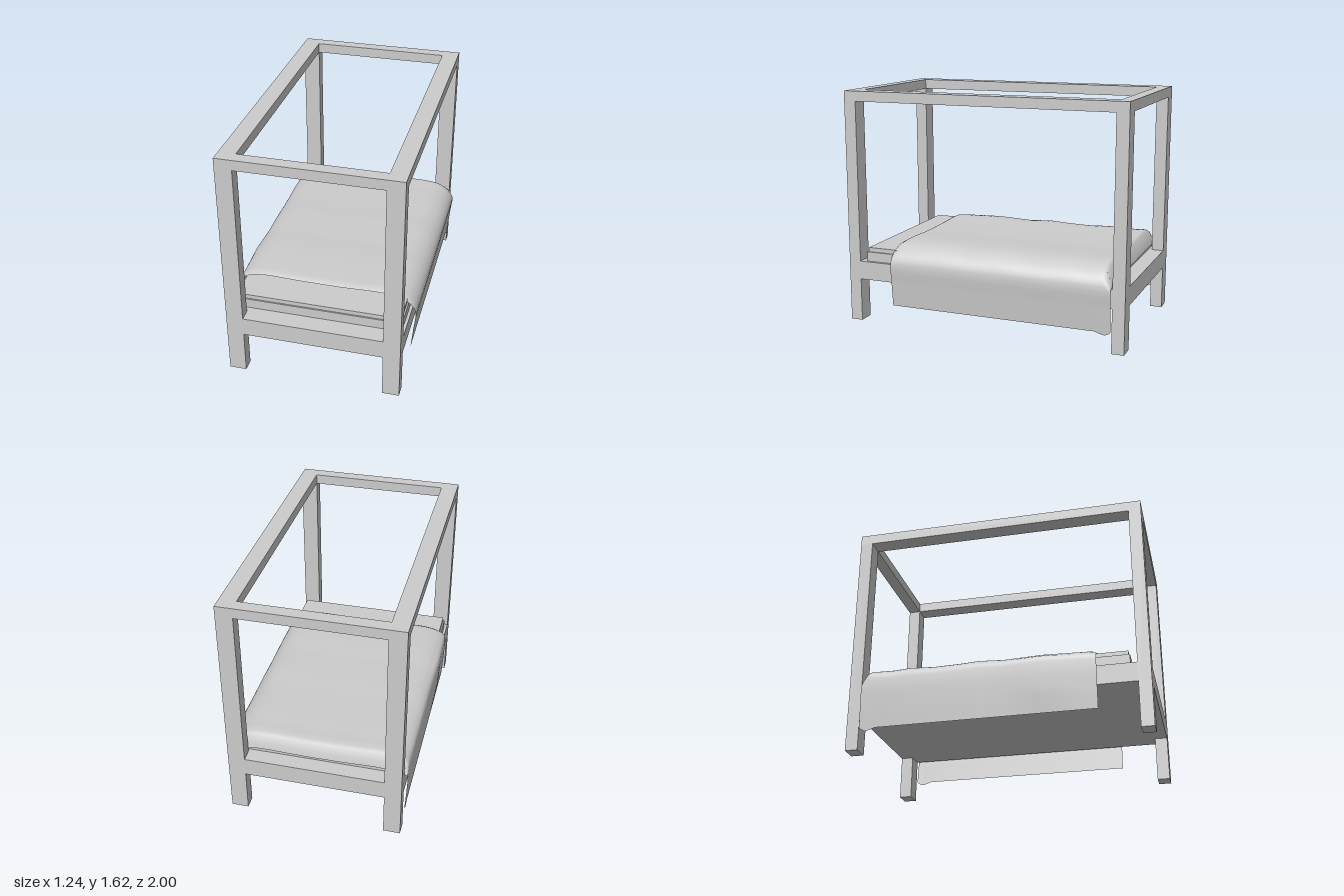
import * as THREE from 'three';

const material = new THREE.MeshStandardMaterial({ color: 0xcccccc });
const clothMaterial = new THREE.MeshStandardMaterial({ color: 0xcccccc, side: THREE.DoubleSide });

// Box given by its minimum and maximum corners
function box(name, x0, x1, y0, y1, z0, z1) {
  const mesh = new THREE.Mesh(new THREE.BoxGeometry(x1 - x0, y1 - y0, z1 - z0), material);
  mesh.name = name;
  mesh.position.set((x0 + x1) / 2, (y0 + y1) / 2, (z0 + z1) / 2);
  return mesh;
}

const X0 = -0.595, X1 = 0.585, PX = 0.115, PZ = 0.085, H = 1.625, RAIL = 1.555;

// Draped sheet: a cross-section over the bed, swept from the back to the front
function createBlanket() {
  const section = new THREE.CatmullRomCurve3([
    [-0.603, 0.14], [-0.612, 0.3], [-0.616, 0.46], [-0.608, 0.515], [-0.56, 0.555], [-0.45, 0.58],
    [-0.2, 0.576], [0.1, 0.574], [0.38, 0.58], [0.5, 0.565], [0.575, 0.52], [0.615, 0.45],
    [0.605, 0.3], [0.59, 0.14],
  ].map(([x, y]) => new THREE.Vector3(x, y, 0)), false, 'centripetal');

  // [z, offset of the top, offset of the hem]
  const rows = [
    [-0.91, -0.11, 0.01], [-0.9, -0.065, -0.005], [-0.875, -0.01, -0.017], [-0.855, 0.003, -0.018],
    [-0.8, 0, 0], [-0.7, -0.002, 0], [-0.6, 0.005, 0], [-0.42, -0.004, 0], [-0.25, 0, 0],
    [-0.12, 0.007, 0], [0.05, -0.003, 0], [0.18, 0.002, 0], [0.3, 0.007, 0], [0.45, 0.002, 0],
    [0.6, -0.003, 0], [0.635, -0.007, 0], [0.66, -0.02, 0],
  ];
  const cols = 52;
  const points = section.getPoints(cols);
  const geometry = new THREE.PlaneGeometry(1, 1, cols, rows.length - 1);
  const pos = geometry.attributes.position;
  rows.forEach(([z, top, hem], r) => points.forEach((p, c) => {
    const high = THREE.MathUtils.clamp((p.y - 0.42) / 0.14, 0, 1);
    const low = THREE.MathUtils.clamp((0.3 - p.y) / 0.16, 0, 1);
    // Gentle bulge of the -x side
    const bulge = p.x < -0.59 ? -0.009 * Math.exp(-(((z - 0.3) / 0.15) ** 2)) * (1 - low) : 0;
    pos.setXYZ(r * (cols + 1) + c, p.x + bulge, p.y + top * high + hem * low, z);
  }));
  geometry.computeVertexNormals();
  const mesh = new THREE.Mesh(geometry, clothMaterial);
  mesh.name = 'blanket';
  return mesh;
}

export function createModel() {
  const bed = new THREE.Group();
  bed.name = 'canopyBed';

  // Four corner posts
  for (const x of [X0, X1 - PX]) {
    for (const z of [-1, 1 - PZ]) bed.add(box('post', x, x + PX, 0, RAIL, z, z + PZ));
  }

  // Open canopy frame, one mitre-free piece
  const outline = new THREE.Shape([[X0, -1], [X1, -1], [X1, 1], [X0, 1]]
    .map(([x, y]) => new THREE.Vector2(x, y)));
  outline.holes.push(new THREE.Path([
    [X0 + PX, -1 + PZ], [X0 + PX, 1 - PZ], [X1 - PX, 1 - PZ], [X1 - PX, -1 + PZ],
  ].map(([x, y]) => new THREE.Vector2(x, y))));
  const canopy = new THREE.Mesh(
    new THREE.ExtrudeGeometry(outline, { depth: H - RAIL, bevelEnabled: false }), material);
  canopy.name = 'canopyFrame';
  canopy.rotation.x = -Math.PI / 2;
  canopy.position.y = RAIL;
  bed.add(canopy);

  // Solid bed base
  bed.add(box('bedBase', X0, X1, 0.303, 0.433, -1, 1));

  // Mattress with a slightly inset top layer
  bed.add(box('mattress', -0.575, 0.565, 0.433, 0.5, -0.89, 0.87));
  bed.add(box('mattressTop', -0.565, 0.555, 0.5, 0.53, -0.875, 0.86));

  bed.add(createBlanket());
  return bed;
}
